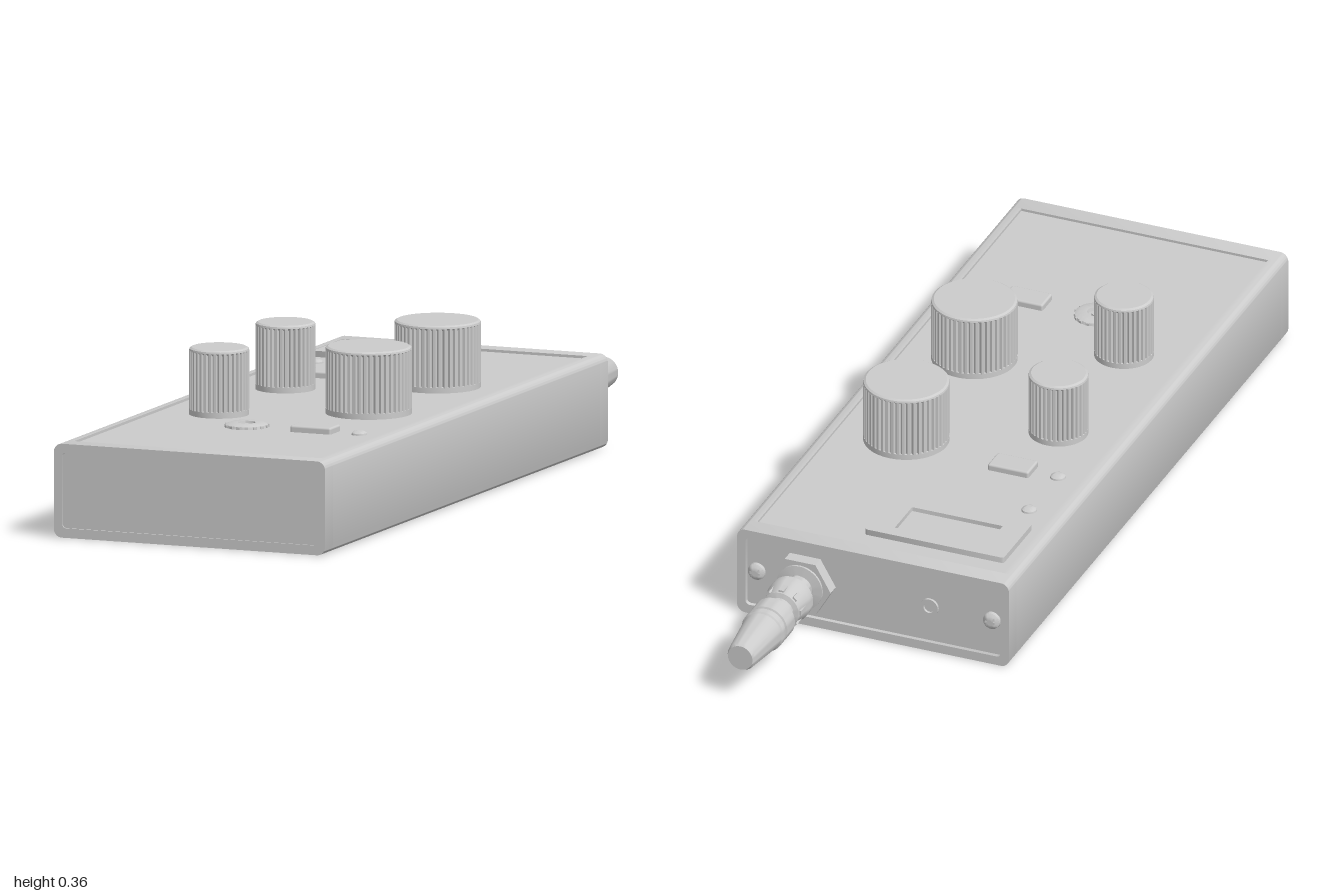
import * as THREE from 'three';
import { toCreasedNormals } from 'three/addons/utils/BufferGeometryUtils.js';
import { RoundedBoxGeometry } from 'three/addons/geometries/RoundedBoxGeometry.js';

const mat = new THREE.MeshStandardMaterial({ color: 0xcccccc });
const W = 0.333, H = 0.215, BACK = -0.63, FRONT = 1, DECK = 0.209;
const MID = 0.109;

function add(parent, name, geo, x = 0, y = 0, z = 0) {
  const m = new THREE.Mesh(geo, mat);
  m.name = name;
  m.position.set(x, y, z);
  parent.add(m);
  return m;
}

// Rounded rectangle outline, used for shapes and holes
function rect(target, x0, y0, x1, y1, r) {
  target.moveTo(x0 + r, y0);
  target.lineTo(x1 - r, y0);
  target.absarc(x1 - r, y0 + r, r, -Math.PI / 2, 0);
  target.lineTo(x1, y1 - r);
  target.absarc(x1 - r, y1 - r, r, 0, Math.PI / 2);
  target.lineTo(x0 + r, y1);
  target.absarc(x0 + r, y1 - r, r, Math.PI / 2, Math.PI);
  target.lineTo(x0, y0 + r);
  target.absarc(x0 + r, y0 + r, r, Math.PI, Math.PI * 1.5);
  return target;
}

function extrude(shape, depth, bevel = 0) {
  const g = new THREE.ExtrudeGeometry(shape, {
    depth: depth - 2 * bevel, curveSegments: 8, bevelEnabled: bevel > 0,
    bevelSize: bevel, bevelThickness: bevel, bevelOffset: -bevel, bevelSegments: 2,
  });
  g.translate(0, 0, bevel);
  return toCreasedNormals(g, 0.6);
}

function lathe(points, segments = 40) {
  const pts = points.map(([r, y]) => new THREE.Vector2(r, y));
  return toCreasedNormals(new THREE.LatheGeometry(pts, segments), 0.5);
}

// Fluted control knob with a plain base ring and a bevelled cap
function knob(parent, name, x, z, r, teeth) {
  const g = new THREE.Group();
  g.name = name;
  const outline = [];
  for (let i = 0; i < teeth; i++) {
    for (const [f, rr] of [[0, r - 0.005], [0.25, r], [0.7, r], [0.95, r - 0.005]]) {
      const a = ((i + f) / teeth) * Math.PI * 2;
      outline.push(new THREE.Vector2(Math.cos(a) * rr, Math.sin(a) * rr));
    }
  }
  const grip = extrude(new THREE.Shape(outline), 0.135);
  grip.rotateX(-Math.PI / 2);
  add(g, 'grip', grip, 0, 0.012, 0);
  add(g, 'baseRing', lathe([[0, 0], [r, 0], [r, 0.013], [r - 0.006, 0.014]]));
  add(g, 'cap', lathe([[r - 0.005, 0.142], [r, 0.147], [r - 0.001, 0.151], [r - 0.006, 0.154], [0, 0.154]]));
  g.position.set(x, DECK, z);
  parent.add(g);
}

export function createModel() {
  const model = new THREE.Group();
  model.name = 'controlBox';

  // Case: U-shaped middle with a sunken deck, closed by two end frames
  const z0 = BACK + 0.045, z1 = FRONT - 0.045, r = 0.02, lip = 0.302;
  const u = new THREE.Shape();
  u.moveTo(-W + r, 0);
  u.lineTo(W - r, 0);
  u.absarc(W - r, r, r, -Math.PI / 2, 0);
  u.lineTo(W, H - r);
  u.absarc(W - r, H - r, r, 0, Math.PI / 2);
  u.lineTo(lip, H);
  u.lineTo(lip, DECK);
  u.lineTo(-lip, DECK);
  u.lineTo(-lip, H);
  u.absarc(-W + r, H - r, r, Math.PI / 2, Math.PI);
  u.lineTo(-W, r);
  u.absarc(-W + r, r, r, Math.PI, Math.PI * 1.5);
  add(model, 'caseBody', extrude(u, z1 - z0), 0, 0, z0);

  const frame = rect(new THREE.Shape(), -W, 0, W, H, r);
  frame.holes.push(rect(new THREE.Path(), -0.312, 0.022, 0.312, 0.195, 0.009));
  add(model, 'backFrame', extrude(frame, 0.045), 0, 0, BACK);
  add(model, 'frontFrame', extrude(frame, 0.045), 0, 0, z1);
  add(model, 'backPanel', new THREE.BoxGeometry(0.63, 0.18, 0.035), 0, MID, BACK + 0.0275);
  add(model, 'frontPanel', new THREE.BoxGeometry(0.63, 0.18, 0.041), 0, MID, z1 + 0.0205);

  // Knobs
  for (const z of [-0.097, 0.3]) knob(model, 'largeKnob', 0.142, z, 0.098, 48);
  for (const z of [0.064, 0.446]) knob(model, 'smallKnob', -0.163, z, 0.068, 36);

  // Display: raised bezel around a sunken window
  const bezel = rect(new THREE.Shape(), -0.28, 0.367, 0.06, 0.535, 0.006);
  bezel.holes.push(rect(new THREE.Path(), -0.222, 0.402, 0, 0.503, 0.002));
  const bezelGeo = extrude(bezel, 0.014);
  bezelGeo.rotateX(-Math.PI / 2);
  add(model, 'displayBezel', bezelGeo, 0, DECK, 0);
  add(model, 'displayWindow', new THREE.BoxGeometry(0.225, 0.004, 0.104), -0.111, DECK + 0.002, -0.4525);

  // Push buttons and indicator lights
  for (const [x, z] of [[-0.132, -0.128], [0.132, 0.584]])
    add(model, 'button', new RoundedBoxGeometry(0.1, 0.024, 0.06, 3, 0.005), x, DECK + 0.003, z);
  for (const [x, z] of [[-0.24, -0.29], [-0.242, -0.127], [0.241, 0.586]])
    add(model, 'indicatorLight', lathe([[0.018, 0], [0.017, 0.004], [0.012, 0.008], [0.006, 0.01], [0, 0.011]], 20), x, DECK, z);

  // Socket with knurled ring on the deck
  const ring = [[0.018, 0.002], [0.05, 0], [0.048, 0.006], [0.038, 0.01], [0.02, 0.01], [0.018, 0.002]];
  add(model, 'deckSocketRing', lathe(ring), -0.037, DECK, 0.583);
  add(model, 'deckSocketPin', lathe([[0.01, 0], [0.01, 0.006], [0, 0.006]], 16), -0.037, DECK, 0.583);
  for (let i = 0; i < 16; i++) {
    const a = (i / 16) * Math.PI * 2;
    const n = add(model, 'deckSocketNotch', new THREE.BoxGeometry(0.006, 0.006, 0.008),
      -0.037 + Math.cos(a) * 0.048, DECK + 0.003, 0.583 + Math.sin(a) * 0.048);
    n.rotation.y = -a;
  }

  // Fittings on the back panel, built upwards and turned to face -z
  const rear = new THREE.Group();
  rear.name = 'rearFittings';
  rear.rotation.x = -Math.PI / 2;
  rear.position.set(0, MID, BACK + 0.01);
  model.add(rear);
  for (const x of [-0.288, 0.288]) {
    add(rear, 'screwHead', lathe([[0.021, 0], [0.02, 0.007], [0.014, 0.013], [0.007, 0.016], [0, 0.016]], 24), x);
    add(rear, 'screwSlot', new THREE.BoxGeometry(0.024, 0.004, 0.005), x, 0.014, 0);
  }
  add(rear, 'rearSocketRing', lathe([[0.013, 0], [0.022, 0], [0.022, 0.006], [0.013, 0.006], [0.013, 0]], 24), -0.135);

  // Cable connector: hex nut, coupling sleeve, grip and tapered boot
  const plug = new THREE.Group();
  plug.name = 'cableConnector';
  plug.position.x = 0.17;
  rear.add(plug);
  const nut = toCreasedNormals(new THREE.CylinderGeometry(0.075, 0.075, 0.03, 6), 0.3);
  nut.rotateY(Math.PI / 6 + Math.PI / 3);
  add(plug, 'hexNut', nut, 0, 0.016, 0);
  add(plug, 'washer', lathe([[0.056, 0.028], [0.056, 0.036], [0.034, 0.04]]));
  add(plug, 'couplingSleeve', lathe([[0.03, 0.03], [0.03, 0.072], [0.046, 0.073], [0.053, 0.08], [0.053, 0.1],
    [0.045, 0.13], [0.045, 0.146], [0.034, 0.15], [0.034, 0.19]]));
  for (let i = 0; i < 8; i++) {
    const a = (i / 8) * Math.PI * 2;
    const rib = add(plug, 'sleeveRib', new THREE.BoxGeometry(0.012, 0.05, 0.012), Math.cos(a) * 0.043, 0.116, Math.sin(a) * 0.043);
    rib.rotation.y = -a;
  }
  add(plug, 'grip', lathe([[0.03, 0.176], [0.047, 0.177], [0.051, 0.182], [0.051, 0.226], [0.047, 0.228],
    [0.047, 0.234], [0.051, 0.236], [0.051, 0.25], [0.046, 0.255]]));
  add(plug, 'strainBoot', lathe([[0.048, 0.25], [0.047, 0.262], [0.034, 0.372], [0.03, 0.38], [0, 0.38]]));
  return model;
}
